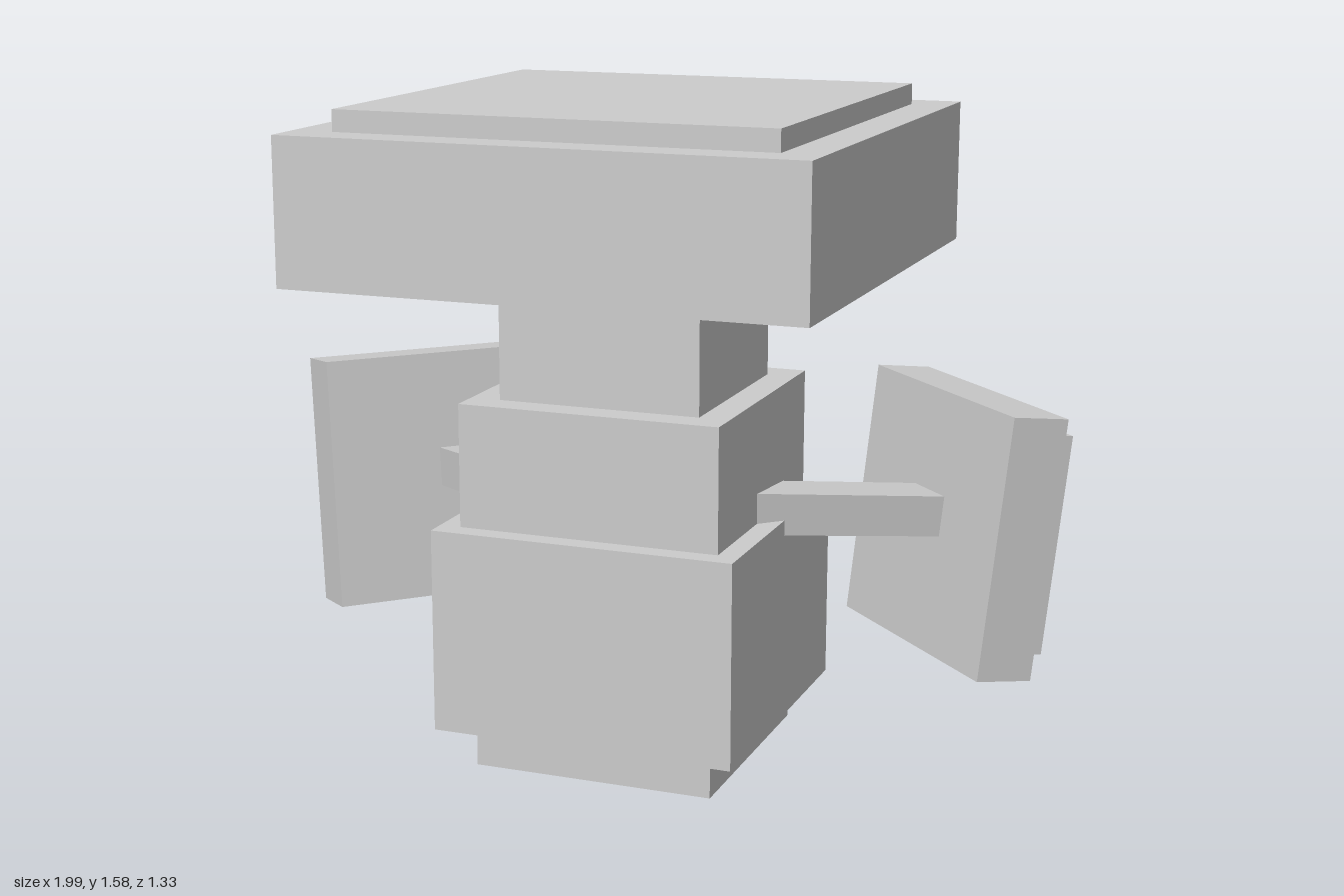
import * as THREE from 'three';

const material = new THREE.MeshStandardMaterial({ color: 0xcccccc, flatShading: true });

function box(name, parent, [w, h, d], [x, y, z]) {
  const mesh = new THREE.Mesh(new THREE.BoxGeometry(w, h, d), material);
  mesh.name = name;
  mesh.position.set(x, y, z);
  parent.add(mesh);
  return mesh;
}

export function createModel() {
  const model = new THREE.Group();
  model.name = 'blockFigure';
  const cx = 0.015, cz = 0.052; // axis of the stacked body

  // Stacked square blocks: name, width, bottom, top
  const blocks = [
    ['base', 0.59, 0, 0.105],
    ['lowerBody', 0.74, 0.105, 0.595],
    ['upperBody', 0.637, 0.595, 0.89],
    ['neck', 0.492, 0.89, 1.19],
    ['head', 1.23, 1.19, 1.53],
    ['headCap', 1.035, 1.53, 1.58],
  ];
  for (const [name, w, y0, y1] of blocks) {
    box(name, model, [w, y1 - y0, w], [cx, (y0 + y1) / 2, cz]);
  }

  // Small tilted block on the back of the neck
  const tab = box('backTab', model, [0.25, 0.22, 0.15], [cx, 0.857, -0.227]);
  tab.rotation.x = THREE.MathUtils.degToRad(5.5);

  // Arms swept back, each carrying a two-layer square plate
  for (const side of [1, -1]) {
    const arm = new THREE.Group();
    arm.name = side > 0 ? 'leftArm' : 'rightArm';
    arm.position.set(cx + side * 0.675, 0.527, -0.36);
    arm.rotation.set(THREE.MathUtils.degToRad(7), side * Math.PI * 0.75, 0, 'YXZ');
    const shift = side > 0 ? 0 : 0.042;
    box('armBar', arm, [0.14, 0.1, 0.58], [0, 0.02, -0.355]);
    box('plate', arm, [0.64, 0.64, 0.15], [shift, 0, 0]);
    box('outerPlate', arm, [0.54, 0.54, 0.06], [shift, 0, 0.1]);
    model.add(arm);
  }
  return model;
}
